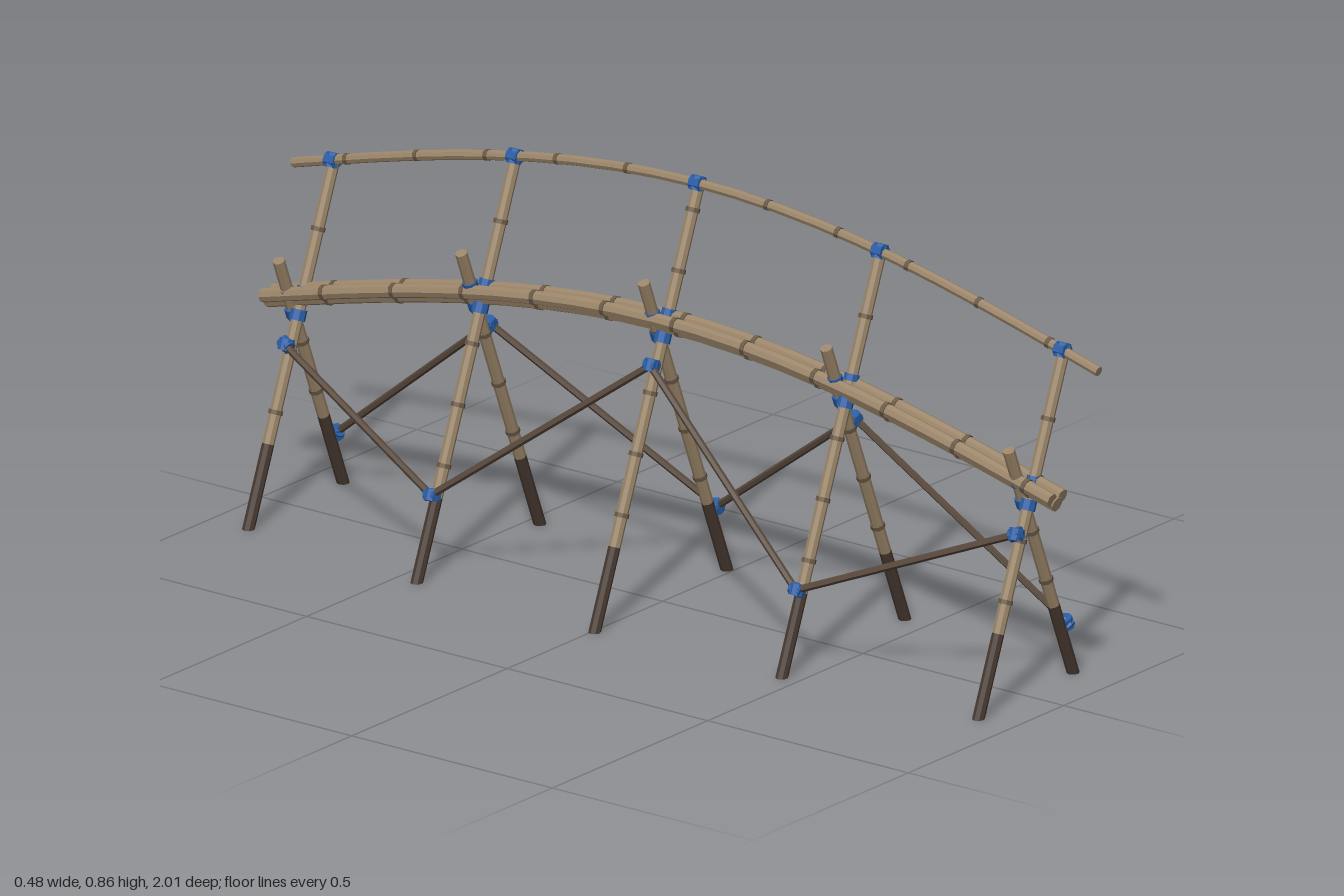
import * as THREE from 'three';

const mat = (name, color) => Object.assign(new THREE.MeshStandardMaterial({ color, flatShading: true }), { name });
const V = (x, y, z) => new THREE.Vector3(x, y, z);
const UP = V(0, 1, 0);

export function createModel() {
  const root = new THREE.Group();
  root.name = 'bambooFootbridge';
  const bamboo = mat('bamboo', 0x9c866a);
  const node = mat('bambooNode', 0x6a5a47);
  const stain = mat('wetBamboo', 0x483930);
  const brace = mat('braceBamboo', 0x59493c);
  const rope = mat('blueLashing', 0x2a5ea6);

  // Straight pole between two points
  function pole(parent, name, a, b, r, material, sides = 8) {
    const d = b.clone().sub(a);
    const m = new THREE.Mesh(new THREE.CylinderGeometry(r, r, d.length(), sides), material);
    m.name = name;
    m.position.copy(a).add(b).multiplyScalar(0.5);
    m.quaternion.setFromUnitVectors(UP, d.normalize());
    parent.add(m);
    return m;
  }
  // Short collar centred on p, used for nodes and lashings
  function collar(parent, name, p, dir, r, h, material, sides = 8) {
    const half = dir.clone().normalize().multiplyScalar(h / 2);
    return pole(parent, name, p.clone().sub(half), p.clone().add(half), r, material, sides);
  }
  // Knot: two crossing collars
  function lashing(parent, p, dirA, dirB, r) {
    collar(parent, 'lashing', p, dirA, r, r * 1.5, rope);
    collar(parent, 'lashing', p, dirB, r * 0.88, r * 1.75, rope);
  }

  // Arched longitudinal poles
  const deckY = z => 0.422 + 0.162 * Math.cos(z * Math.PI / 1.96);
  const railY = z => 0.67 + 0.175 * Math.cos(z * Math.PI / 2);
  function archPole(name, x, yOf, halfLen, r, shift) {
    const g = new THREE.Group();
    g.name = name;
    const pts = [];
    for (let i = 0; i <= 16; i++) {
      const z = halfLen * (i / 8 - 1);
      pts.push(V(x, yOf(z), z));
    }
    const curve = new THREE.CatmullRomCurve3(pts);
    const tube = new THREE.Mesh(new THREE.TubeGeometry(curve, 20, r, 8), bamboo);
    tube.name = name + 'Cane';
    g.add(tube);
    for (const t of [0, 1]) {
      const p = curve.getPointAt(t), d = curve.getTangentAt(t);
      collar(g, name + 'End', p, d, r, 0.008, bamboo);
    }
    for (let z = -halfLen + shift; z < halfLen - 0.04; z += 0.175) {
      const dir = V(0, yOf(z + 0.01) - yOf(z - 0.01), 0.02);
      collar(g, name + 'Node', V(x, yOf(z), z), dir, r * 1.13, 0.009, node);
    }
    root.add(g);
  }
  archPole('deckPoleCentre', 0, z => deckY(z) - 0.004, 0.98, 0.016, 0.15);
  for (const s of [-1, 1]) archPole(s < 0 ? 'deckPoleRight' : 'deckPoleLeft', s * 0.017, z => deckY(z) + 0.009, 0.98, 0.0145, 0.15);
  archPole('handrail', 0.108, railY, 1, 0.0105, 0.13);

  // Crossed leg frames
  const slope = 2.52, legR = 0.0125, zs = [-0.91, -0.455, 0, 0.455, 0.91];
  const cross = [0.415, 0.53, 0.567, 0.53, 0.415];
  const legPoint = (i, s, y) => V(s * (y - cross[i]) / slope, y, zs[i] + (s > 0 ? 0.005 : -0.014));
  zs.forEach((z, i) => {
    const frame = new THREE.Group();
    frame.name = 'legFrame' + (i + 1);
    for (const s of [1, -1]) {
      const at = y => legPoint(i, s, y);
      const top = s > 0 ? railY(z) + 0.01 : cross[i] + 0.108;
      const dir = at(1).sub(at(0));
      const foot = pole(frame, 'legFoot', at(0), at(0.16), legR, stain);
      pole(frame, 'leg', at(0.16), at(top), legR, bamboo);
      // Trim the tilted foot flat at ground level
      foot.updateMatrix();
      const inv = foot.matrix.clone().invert(), pos = foot.geometry.attributes.position;
      const p = V(0, 0, 0);
      for (let k = 0; k < pos.count; k++) {
        p.fromBufferAttribute(pos, k);
        if (p.y > 0) continue;
        p.applyMatrix4(foot.matrix);
        p.addScaledVector(dir, -p.y / dir.y).applyMatrix4(inv);
        pos.setXYZ(k, p.x, p.y, p.z);
      }
      for (let y = 0.22; y < top - 0.03; y += 0.115) collar(frame, 'legNode', at(y), dir, legR * 1.18, 0.009, node);
      // Deck lashing
      collar(frame, 'deckLashing', at(cross[i] - 0.012), dir, 0.0165, 0.022, rope);
      collar(frame, 'deckLashing', at(cross[i] + 0.035), dir, 0.0155, 0.014, rope);
    }
    lashing(frame, V(0.108, railY(z), z + 0.003), V(0, 0, 1), V(1, slope, 0), 0.0165);
    root.add(frame);
  });

  // Zigzag braces along both sides
  const zigzags = [
    { name: 'rightBrace', s: 1, ys: [0.352, 0.17, 0.507, 0.17, 0.352], dx: -0.022 },
    { name: 'leftBrace', s: -1, ys: [0.112, 0.465, 0.142, 0.465, 0.112], dx: 0.024 },
  ];
  for (const { name, s, ys, dx } of zigzags) {
    const g = new THREE.Group();
    g.name = name;
    const pts = ys.map((y, i) => legPoint(i, s, y).add(V(dx, 0, 0)));
    pts.forEach((p, i) => {
      if (i) pole(g, name + 'Pole', pts[i - 1], p, 0.0075, brace, 6);
      const along = pts[Math.min(i + 1, 4)].clone().sub(pts[Math.max(i - 1, 0)]);
      lashing(g, p.clone().add(V(-dx * 0.15, 0, 0)), V(s, slope, 0), along, 0.0155);
    });
    root.add(g);
  }
  return root;
}
